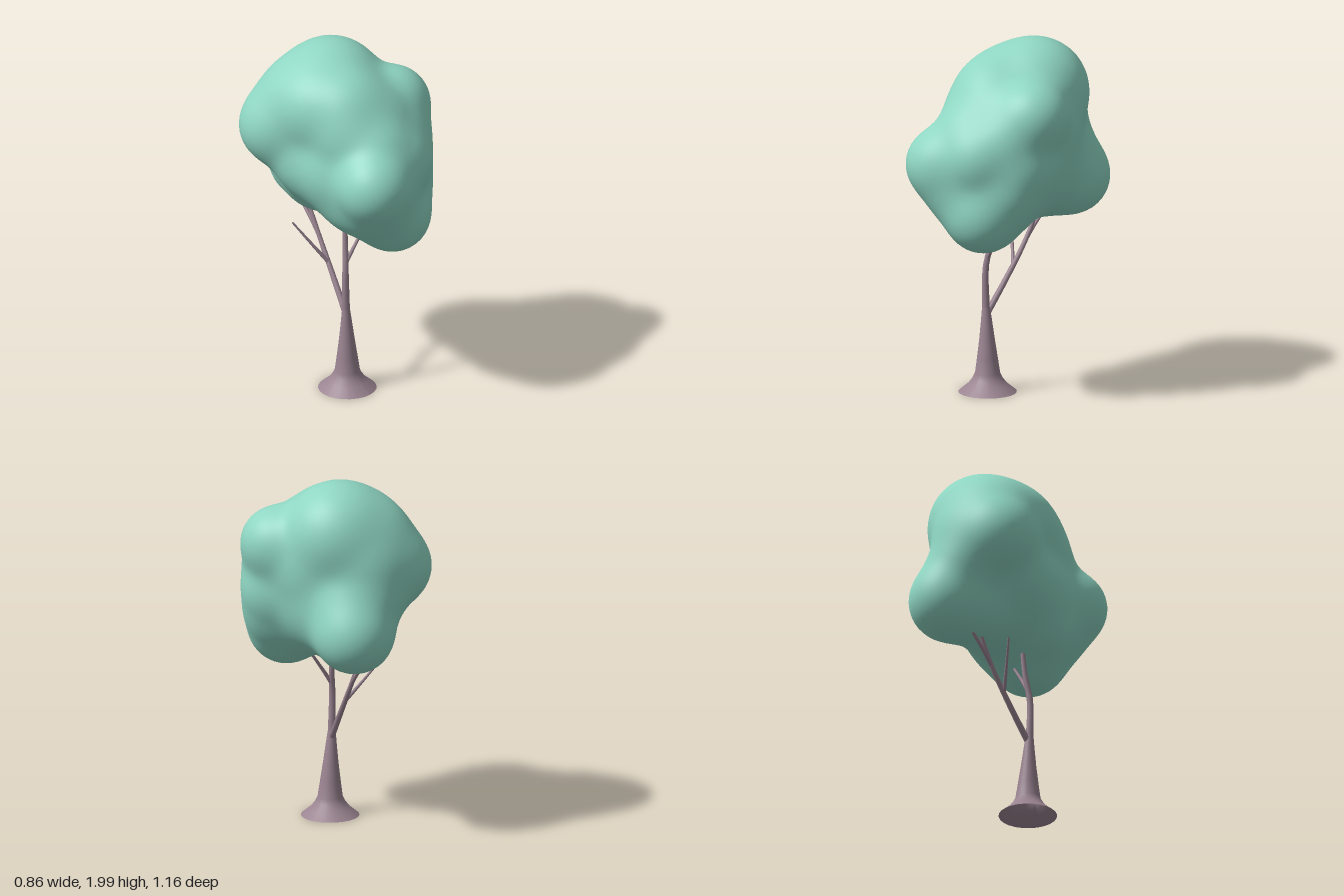
import * as THREE from 'three';
import { mergeVertices } from 'three/addons/utils/BufferGeometryUtils.js';

const bark = new THREE.MeshStandardMaterial({ color: 0x9a8491, side: THREE.DoubleSide });
const leaf = new THREE.MeshStandardMaterial({ color: 0x8fd6c3 });
const V = (p) => new THREE.Vector3(...p);

// Tube along a curve, tapering from r0 to r1
function branch(name, points, r0, r1) {
  const curve = new THREE.CatmullRomCurve3(points.map(V));
  const steps = 10, sides = 10;
  const geo = new THREE.TubeGeometry(curve, steps, r0, sides);
  const pos = geo.attributes.position, v = new THREE.Vector3();
  for (let i = 0; i < pos.count; i++) {
    const t = Math.floor(i / (sides + 1)) / steps;
    const c = curve.getPointAt(t);
    v.fromBufferAttribute(pos, i).sub(c).multiplyScalar(1 + t * (r1 / r0 - 1)).add(c);
    pos.setXYZ(i, v.x, v.y, v.z);
  }
  const mesh = new THREE.Mesh(geo, bark);
  mesh.name = name;
  return mesh;
}

// Lumps of the canopy: centre x, y, z and radius
const lumps = [
  [0.03, 1.7, -0.14, 0.29],    // crown
  [-0.14, 1.67, -0.08, 0.23],  // crown, right side
  [0.235, 1.63, 0.14, 0.195],  // upper left
  [-0.22, 1.34, 0.375, 0.198], // front right
  [0.02, 1.065, 0.31, 0.203],  // low front
  [0.1, 1.18, -0.36, 0.215],   // low back
  [-0.21, 1.51, -0.32, 0.215], // back right
  [0.19, 1.35, 0.18, 0.19],    // left flank
  [0.02, 1.4, 0.34, 0.18],     // front
  [0.0, 1.6, 0.15, 0.21],      // upper front
  [-0.14, 1.33, 0.07, 0.225],  // right flank
  [0.02, 1.3, -0.05, 0.29],    // heart
];

// Softer masses that fill the hollows between the lumps
const fillers = [
  [-0.1, 1.7, 0.08, 0.195],    // shoulder in front of the crown
  [-0.04, 1.55, -0.31, 0.2],   // behind the crown
  [-0.12, 1.66, -0.24, 0.22],  // crown to back right
  [-0.03, 1.38, -0.34, 0.18],  // back right to low back
  [0.07, 1.34, -0.28, 0.18],   // crown to low back
  [0.0, 1.17, -0.2, 0.185],    // underside, back
  [-0.12, 1.2, 0.33, 0.185],   // front right to low front
  [-0.13, 1.17, 0.17, 0.175],  // underside, right
  [0.13, 1.2, 0.24, 0.185],    // left flank to low front
  [-0.09, 1.5, 0.28, 0.175],   // front right to upper front
  [-0.15, 1.57, 0.13, 0.18],   // upper front, right side
  [0.12, 1.5, -0.04, 0.22],    // left flank to crown
  [0.14, 1.5, 0.24, 0.165],    // upper left to front
  [0.03, 1.15, 0.12, 0.175],   // underside
  [-0.16, 1.35, -0.12, 0.2],   // right side, middle
];
const masses = [...lumps, ...fillers];

// Smoothly blended distance to the masses
function field(p) {
  const k = 0.042;
  let sum = 0;
  for (const [x, y, z, r] of masses) {
    sum += Math.exp(-(Math.hypot(p.x - x, p.y - y, p.z - z) - r) / k);
  }
  return -k * Math.log(sum);
}

// Sphere whose vertices are pulled in along their rays until they meet the masses
function canopy() {
  let geo = new THREE.IcosahedronGeometry(1, 22);
  geo.deleteAttribute('normal');
  geo.deleteAttribute('uv');
  geo = mergeVertices(geo);
  const pos = geo.attributes.position;
  const centre = new THREE.Vector3(0, 1.4, 0), dir = new THREE.Vector3(), p = new THREE.Vector3();
  for (let i = 0; i < pos.count; i++) {
    dir.fromBufferAttribute(pos, i).normalize();
    let r = 1;
    for (let n = 0; n < 60; n++) {
      const d = field(p.copy(centre).addScaledVector(dir, r));
      if (d < 0.0005) break;
      r -= d;
    }
    pos.setXYZ(i, p.x, p.y, p.z);
  }
  geo.computeVertexNormals();
  const mesh = new THREE.Mesh(geo, leaf);
  mesh.name = 'canopy';
  return mesh;
}

export function createModel() {
  const tree = new THREE.Group();
  tree.name = 'tree';

  // Flared trunk, open underneath
  const profile = [[0.162, 0], [0.108, 0.045], [0.085, 0.075], [0.07, 0.105], [0.058, 0.19],
    [0.043, 0.3], [0.03, 0.41], [0.022, 0.48]].map(([r, y]) => new THREE.Vector2(r, y));
  const geo = new THREE.LatheGeometry(profile, 24);
  // Lean the upper trunk slightly
  const pos = geo.attributes.position;
  for (let i = 0; i < pos.count; i++) {
    pos.setX(i, pos.getX(i) - 0.05 * pos.getY(i) ** 2);
  }
  geo.computeVertexNormals();
  const trunk = new THREE.Mesh(geo, bark);
  trunk.position.set(-0.12, 0, 0.098);
  trunk.name = 'trunk';
  tree.add(trunk);

  tree.add(
    branch('upperTrunk', [[-0.131, 0.46, 0.098], [-0.135, 0.7, 0.097], [-0.115, 0.84, 0.08], [-0.1, 1.1, 0.06]], 0.022, 0.011),
    branch('frontTwig', [[-0.128, 0.75, 0.09], [-0.08, 0.83, 0.105], [0.0, 0.95, 0.125]], 0.012, 0.007),
    branch('backBranch', [[-0.125, 0.45, 0.09], [-0.09, 0.62, -0.025], [-0.055, 0.83, -0.16], [-0.035, 1.08, -0.29]], 0.018, 0.01),
    branch('backFork', [[-0.055, 0.83, -0.16], [-0.045, 0.9, -0.22], [-0.02, 1.04, -0.36]], 0.012, 0.008),
    branch('sideTwig', [[-0.08, 0.7, -0.075], [-0.13, 0.79, -0.13], [-0.21, 0.94, -0.22]], 0.011, 0.005),
  );
  tree.add(canopy());
  return tree;
}
